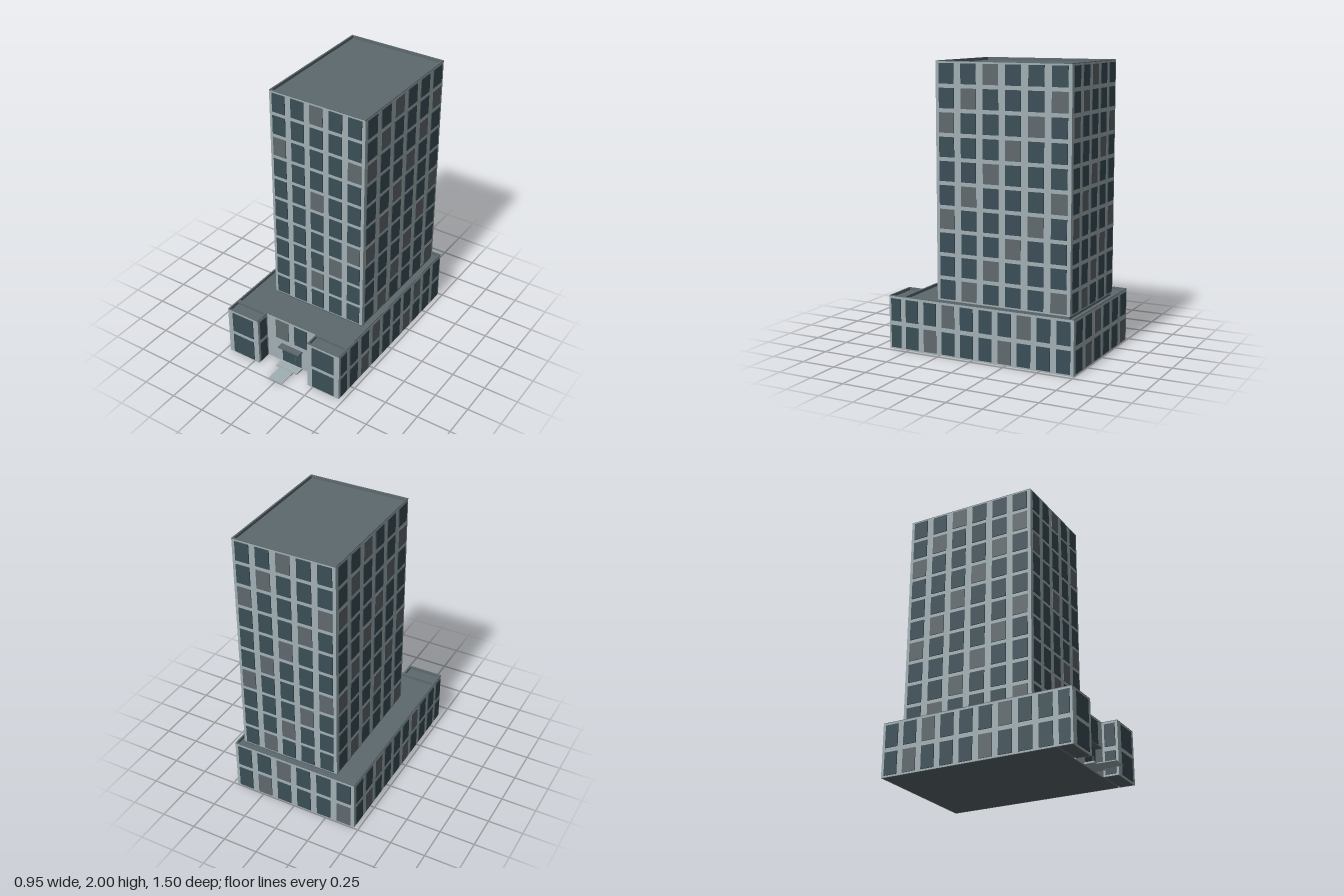
import * as THREE from 'three';
import { mergeGeometries } from 'three/addons/utils/BufferGeometryUtils.js';

const mat = (name, color) => Object.assign(new THREE.MeshStandardMaterial({ color }), { name });

export function createModel() {
  const concrete = mat('pale concrete', 0xa1afb3);
  const glass = mat('dark glass', 0x3b4e57);
  const blind = mat('grey blind', 0x60696e);
  const roofing = mat('slate roofing', 0x5d696f);
  const model = new THREE.Group();

  const boxGeo = (x0, x1, y0, y1, z0, z1) =>
    new THREE.BoxGeometry(x1 - x0, y1 - y0, z1 - z0)
      .translate((x0 + x1) / 2, (y0 + y1) / 2, (z0 + z1) / 2);

  function add(parent, name, geometries, material) {
    if (!geometries.length) return;
    const mesh = new THREE.Mesh(mergeGeometries(geometries), material);
    mesh.name = name;
    parent.add(mesh);
  }

  const COPING = 0.004, SKIN = 0.008, PANE = 0.006;
  const diagonal = (row, col) => ((row + col) % 4 === 2 ? 'blind' : 'glass');
  const allGlass = () => 'glass';

  // One facade: a panel per bay with thin panes; rows count from the top
  function facade(name, x, z, angle, width, y0, y1, bays, rows, paneAt) {
    const group = new THREE.Group();
    group.name = name;
    group.position.set(x, 0, z);
    group.rotation.y = angle;
    const bay = width / bays, storey = (y1 - y0) / rows;
    const panels = [], panes = { glass: [], blind: [] };
    for (let c = 0; c < bays; c++) {
      const left = -width / 2 + c * bay, mid = left + bay / 2;
      panels.push(boxGeo(left, left + bay, y0, y1 - COPING, -SKIN, 0));
      for (let r = 0; r < rows; r++) {
        const kind = paneAt(r, c);
        if (!kind) continue;
        const bottom = y1 - (r + 1) * storey + 0.012;
        panes[kind].push(boxGeo(mid - bay * 0.34, mid + bay * 0.34,
          bottom, bottom + storey * 0.83, 0, PANE));
      }
    }
    add(group, name + 'Panels', panels, concrete);
    add(group, name + 'Glass', panes.glass, glass);
    add(group, name + 'Blinds', panes.blind, blind);
    model.add(group);
  }

  // Solid core with a sunken roof and a dark parapet rim
  function block(name, x0, x1, y0, y1, z0, z1) {
    const roofY = y1 - 0.02, t = 0.012, s = SKIN;
    add(model, name + 'Core', [boxGeo(x0 + s, x1 - s, y0, roofY, z0 + s, z1 - s)], roofing);
    const rim = (a, inset, bottom, top) => [
      boxGeo(x0 + inset, x1 - inset, bottom, top, z0 + inset, z0 + a),
      boxGeo(x0 + inset, x1 - inset, bottom, top, z1 - a, z1 - inset),
      boxGeo(x0 + inset, x0 + a, bottom, top, z0 + a, z1 - a),
      boxGeo(x1 - a, x1 - inset, bottom, top, z0 + a, z1 - a)];
    add(model, name + 'Parapet', [
      ...rim(t, s, roofY, y1 - COPING), ...rim(t, 0, y1 - COPING, y1)], roofing);
  }

  const H = Math.PI / 2, TOP = 0.38;

  // Tower
  const T = { x0: -0.31, x1: 0.42, z0: -0.695, z1: 0.29 };
  const tx = (T.x0 + T.x1) / 2, tz = (T.z0 + T.z1) / 2;
  const tw = T.x1 - T.x0, td = T.z1 - T.z0;
  const frontBlinds = ['0,2', '2,0', '2,4', '4,2', '6,4', '7,3', '8,2'];
  const frontPane = (r, c) => (frontBlinds.includes(r + ',' + c) ? 'blind' : 'glass');
  block('tower', T.x0, T.x1, TOP - 0.02, 2, T.z0, T.z1);
  facade('towerFront', tx, T.z1, 0, tw, TOP, 2, 5, 10, frontPane);
  facade('towerBack', tx, T.z0, Math.PI, tw, TOP, 2, 5, 10, diagonal);
  facade('towerLeft', T.x1, tz, H, td, TOP, 2, 6, 10, diagonal);
  facade('towerRight', T.x0, tz, -H, td, TOP, 2, 6, 10, diagonal);

  // Podium
  const X = 0.467, Z0 = -0.743, Z1 = 0.54, ZW = 0.652, XI = 0.208;
  const midZ = (Z0 + Z1) / 2;
  block('podium', -X, X, 0, TOP, Z0, Z1);
  facade('podiumLeft', X, midZ, H, Z1 - Z0, 0, TOP, 9, 2, diagonal);
  facade('podiumRight', -X, midZ, -H, Z1 - Z0, 0, TOP, 9, 2, diagonal);
  facade('podiumBack', 0, Z0, Math.PI, 2 * X, 0, TOP, 6, 2, diagonal);
  facade('entranceWall', 0, Z1, 0, 0.314, 0, TOP, 2, 2,
    (r, c) => (r ? null : c ? 'glass' : 'blind'));

  // Front wings and the plain strips beside the entrance wall
  for (const s of [1, -1]) {
    const side = s > 0 ? 'left' : 'right';
    const cx = s * (X + XI) / 2, cz = (Z1 + ZW) / 2, d = ZW - Z1;
    block(side + 'Wing', cx - (X - XI) / 2, cx + (X - XI) / 2, 0, TOP, Z1, ZW);
    facade(side + 'WingFront', cx, ZW, 0, X - XI, 0, TOP, 1, 2, allGlass);
    facade(side + 'WingOuter', s * X, cz, s * H, d, 0, TOP, 1, 2, allGlass);
    facade(side + 'WingInner', s * XI, cz, -s * H, d, 0, TOP, 1, 2, allGlass);
    facade(side + 'EntranceStrip', s * (XI + 0.157) / 2, Z1, 0, XI - 0.157, 0, TOP, 1, 1, () => null);
  }

  // Entrance: double door, handle, canopy, landing and path
  add(model, 'doorLeaves', [-1, 1].map(s =>
    boxGeo(Math.min(0, s * 0.079), Math.max(0, s * 0.079), 0.008, 0.15, Z1, Z1 + PANE)), glass);
  add(model, 'doorHandle', [boxGeo(0.034, 0.038, 0.05, 0.09, Z1 + PANE, Z1 + 0.011)], roofing);
  add(model, 'canopy', [boxGeo(-0.088, 0.088, 0.15, 0.162, Z1, 0.586)], roofing);
  add(model, 'landing', [boxGeo(-0.088, 0.088, 0, 0.012, Z1, 0.612)], concrete);
  add(model, 'path', [boxGeo(-0.058, 0.056, 0, 0.006, 0.612, 0.747)], concrete);

  return model;
}
